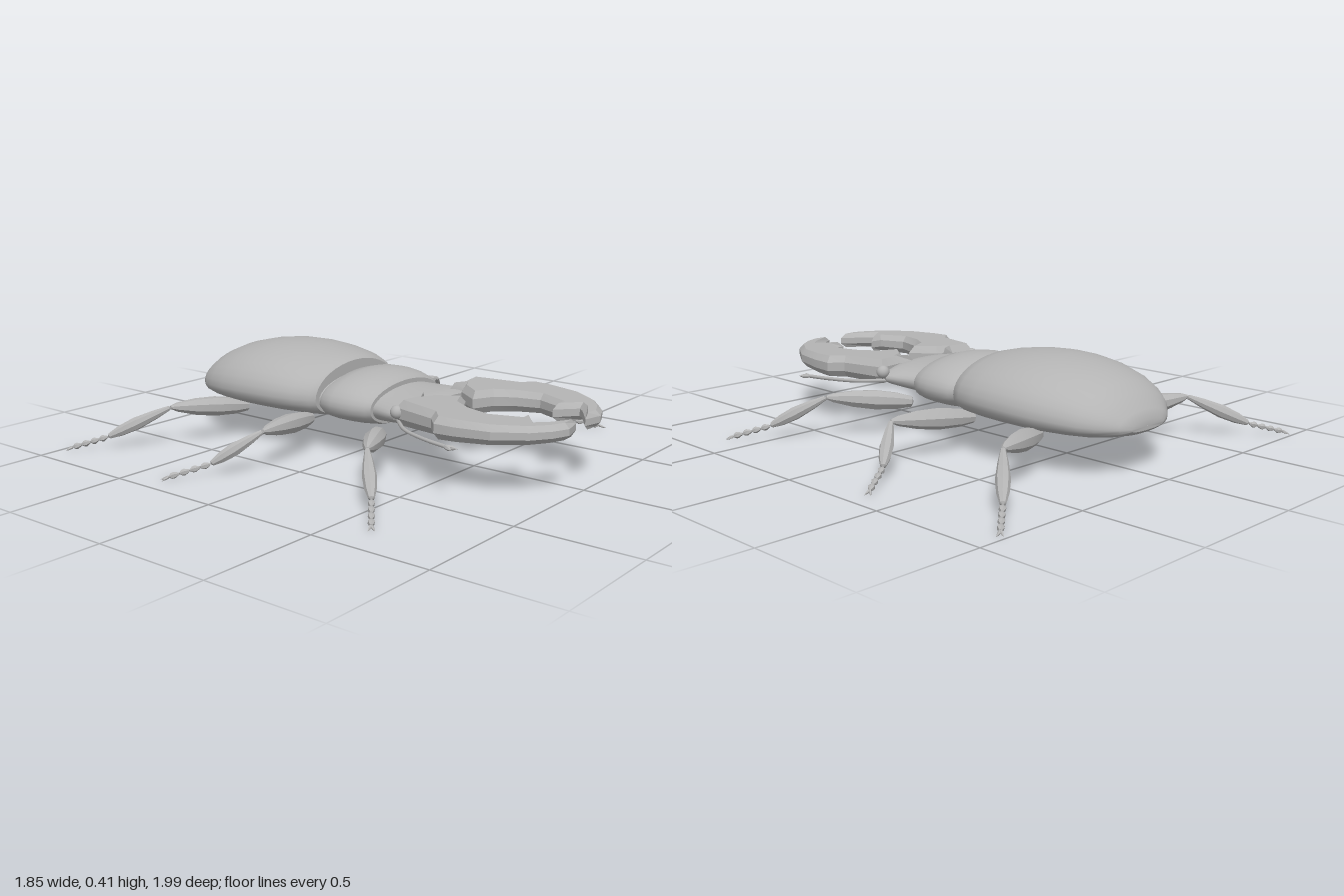
import * as THREE from 'three';
import { toCreasedNormals } from 'three/addons/utils/BufferGeometryUtils.js';

const V = (x, y, z) => new THREE.Vector3(x, y, z);

// Loft of oval sections along z; each station is [z, halfWidth, bottom, widestY, top]
function loft(stations, n = 36) {
  const first = stations[0], last = stations[stations.length - 1];
  const tip = s => [s[0], 0.001, s[3] - 0.001, s[3], s[3] + 0.001];
  const rows = [tip(first), ...stations, tip(last)];
  const pos = [], idx = [];
  rows.forEach(([z, w, bottom, mid, top]) => {
    for (let j = 0; j < n; j++) {
      const a = j / n * Math.PI * 2, c = Math.cos(a), s = Math.sin(a);
      const e = s < 0 ? 0.85 : 1;
      const y = s < 0 ? mid - (mid - bottom) * Math.pow(-s, e) : mid + (top - mid) * s;
      pos.push(w * Math.sign(c) * Math.pow(Math.abs(c), e), y, z);
    }
  });
  for (let i = 0; i < rows.length - 1; i++) for (let j = 0; j < n; j++) {
    const k = (j + 1) % n, a = i * n + j, b = i * n + k;
    idx.push(a, b, a + n, b, b + n, a + n);
  }
  const g = new THREE.BufferGeometry();
  g.setAttribute('position', new THREE.Float32BufferAttribute(pos, 3));
  g.setIndex(idx);
  return toCreasedNormals(g, 0.7);
}

// Turned limb segment from a to b; profile is [radius, fraction along]
function limb(profile, a, b, sides = 8) {
  const dir = b.clone().sub(a), len = dir.length();
  const g = new THREE.LatheGeometry(profile.map(([r, t]) => new THREE.Vector2(r, t * len)), sides);
  g.applyQuaternion(new THREE.Quaternion().setFromUnitVectors(V(0, 1, 0), dir.normalize()));
  return toCreasedNormals(g.translate(a.x, a.y, a.z), 0.6);
}

const FEMUR = [[0, 0], [0.024, 0.03], [0.037, 0.2], [0.043, 0.45], [0.036, 0.7], [0.02, 0.92], [0.008, 1], [0, 1]];
const TIBIA = [[0, 0], [0.01, 0.02], [0.02, 0.25], [0.028, 0.55], [0.023, 0.8], [0.012, 0.97], [0, 1]];
const BEAD = [[0, 0], [0.005, 0.03], [0.014, 0.5], [0.012, 0.75], [0.004, 1], [0, 1]];
const CLAW = [[0, 0], [0.006, 0.1], [0.005, 0.5], [0, 1]];

// Hip, knee, ankle and toe of each left leg
const LEGS = {
  front: [V(0.21, 0.135, 0.18), V(0.53, 0.175, 0.37), V(0.705, 0.055, 0.53), V(0.825, 0.015, 0.625)],
  middle: [V(0.21, 0.135, -0.19), V(0.59, 0.172, -0.11), V(0.75, 0.05, -0.245), V(0.89, 0.015, -0.335)],
  hind: [V(0.22, 0.135, -0.545), V(0.56, 0.172, -0.68), V(0.755, 0.052, -0.865), V(0.865, 0.015, -0.96)],
};

// Mandible outline in plan, [x, z]
const JAW = [[0.27, 0.31], [0.285, 0.37], [0.318, 0.51], [0.372, 0.56], [0.368, 0.65], [0.338, 0.79],
  [0.26, 0.91], [0.19, 0.965], [0.12, 0.995], [0.035, 0.975], [0.14, 0.905], [0.165, 0.88], [0.085, 0.805],
  [0.14, 0.8], [0.185, 0.69], [0.16, 0.59], [0.115, 0.515], [0.025, 0.47], [0.1, 0.365], [0.14, 0.35],
  [0.085, 0.312], [0.16, 0.325]];

function mandible(side) {
  const shape = new THREE.Shape(JAW.map(([x, z]) => new THREE.Vector2(x * side, z)));
  const g = new THREE.ExtrudeGeometry(shape, {
    depth: 0.4, bevelEnabled: true, bevelThickness: 0.3, bevelSize: 0.02, bevelOffset: -0.02, bevelSegments: 1,
  });
  g.rotateX(Math.PI / 2).translate(0, 0.2, 0);
  // Thin the plate towards the tip
  const p = g.attributes.position;
  for (let i = 0; i < p.count; i++) {
    const t = (p.getZ(i) - 0.3) / 0.7;
    p.setY(i, 0.25 + 0.007 * t + p.getY(i) * (0.108 - 0.043 * t));
  }
  g.computeVertexNormals();
  return toCreasedNormals(g, 0.3);
}

export function createModel() {
  const model = new THREE.Group();
  model.name = 'beetle';
  const shell = new THREE.MeshStandardMaterial({ color: 0xb4b4b4 });
  shell.name = 'shell grey';
  const add = (name, geometry, parent = model) => {
    const m = new THREE.Mesh(geometry, shell);
    m.name = name;
    parent.add(m);
    return m;
  };

  // Body
  add('abdomen', loft([
    [-0.895, 0.1, 0.175, 0.19, 0.215], [-0.875, 0.15, 0.16, 0.195, 0.25], [-0.82, 0.225, 0.148, 0.205, 0.305],
    [-0.77, 0.265, 0.142, 0.21, 0.34], [-0.7, 0.3, 0.138, 0.218, 0.37], [-0.6, 0.333, 0.136, 0.226, 0.395],
    [-0.5, 0.347, 0.135, 0.232, 0.408], [-0.4, 0.35, 0.135, 0.236, 0.41], [-0.3, 0.342, 0.135, 0.236, 0.403],
    [-0.2, 0.318, 0.135, 0.234, 0.387], [-0.14, 0.285, 0.135, 0.232, 0.372], [-0.12, 0.262, 0.14, 0.23, 0.36],
  ]));
  add('waist', loft([[-0.14, 0.24, 0.145, 0.225, 0.31], [-0.09, 0.24, 0.145, 0.225, 0.31]]));
  add('thorax', loft([
    [-0.106, 0.25, 0.142, 0.225, 0.315], [-0.085, 0.266, 0.135, 0.225, 0.33], [-0.03, 0.276, 0.132, 0.225, 0.343],
    [0.03, 0.277, 0.132, 0.225, 0.345], [0.08, 0.27, 0.133, 0.225, 0.339], [0.13, 0.252, 0.136, 0.225, 0.325],
    [0.15, 0.235, 0.142, 0.225, 0.31],
  ]));
  add('head', loft([
    [0.13, 0.212, 0.15, 0.22, 0.293], [0.17, 0.226, 0.155, 0.222, 0.29], [0.24, 0.25, 0.165, 0.225, 0.285],
    [0.29, 0.27, 0.175, 0.23, 0.283], [0.33, 0.255, 0.185, 0.232, 0.28], [0.36, 0.2, 0.195, 0.232, 0.27],
  ]));

  for (const side of [1, -1]) {
    const label = side > 0 ? 'left' : 'right';
    const S = v => V(v.x * side, v.y, v.z);

    // Jaws and eyes
    add(label + 'Mandible', mandible(side));
    add(label + 'Eye', new THREE.SphereGeometry(0.028, 16, 12).translate(0.268 * side, 0.253, 0.31));

    // Antenna with a forked tip
    const antenna = new THREE.Group();
    antenna.name = label + 'Antenna';
    model.add(antenna);
    const path = [V(0.25, 0.215, 0.3), V(0.335, 0.21, 0.4), V(0.385, 0.207, 0.53), V(0.408, 0.205, 0.64)].map(S);
    add('antennaStem', new THREE.TubeGeometry(new THREE.CatmullRomCurve3(path), 14, 0.008, 6), antenna);
    for (const [x, z] of [[0.434, 0.685], [0.402, 0.692]])
      add('antennaTip', limb([[0, 0], [0.008, 0.1], [0.009, 0.6], [0, 1]], path[3], S(V(x, 0.203, z)), 6), antenna);

    // Legs: thigh, shin, four beads and two claws
    for (const [name, points] of Object.entries(LEGS)) {
      const leg = new THREE.Group();
      leg.name = label + name[0].toUpperCase() + name.slice(1) + 'Leg';
      model.add(leg);
      const [hip, knee, ankle, toe] = points.map(S);
      add('femur', limb(FEMUR, hip, knee), leg);
      add('tibia', limb(TIBIA, knee, ankle), leg);
      for (let i = 0; i < 4; i++)
        add('tarsus', limb(BEAD, ankle.clone().lerp(toe, i / 4), ankle.clone().lerp(toe, (i + 1) / 4), 6), leg);
      const forward = toe.clone().sub(ankle).setY(0).setLength(0.034);
      for (const turn of [0.4, -0.4]) {
        const end = forward.clone().applyAxisAngle(V(0, 1, 0), turn).add(toe);
        end.y = 0.003;
        add('claw', limb(CLAW, toe, end, 5), leg);
      }
    }
  }
  return model;
}
